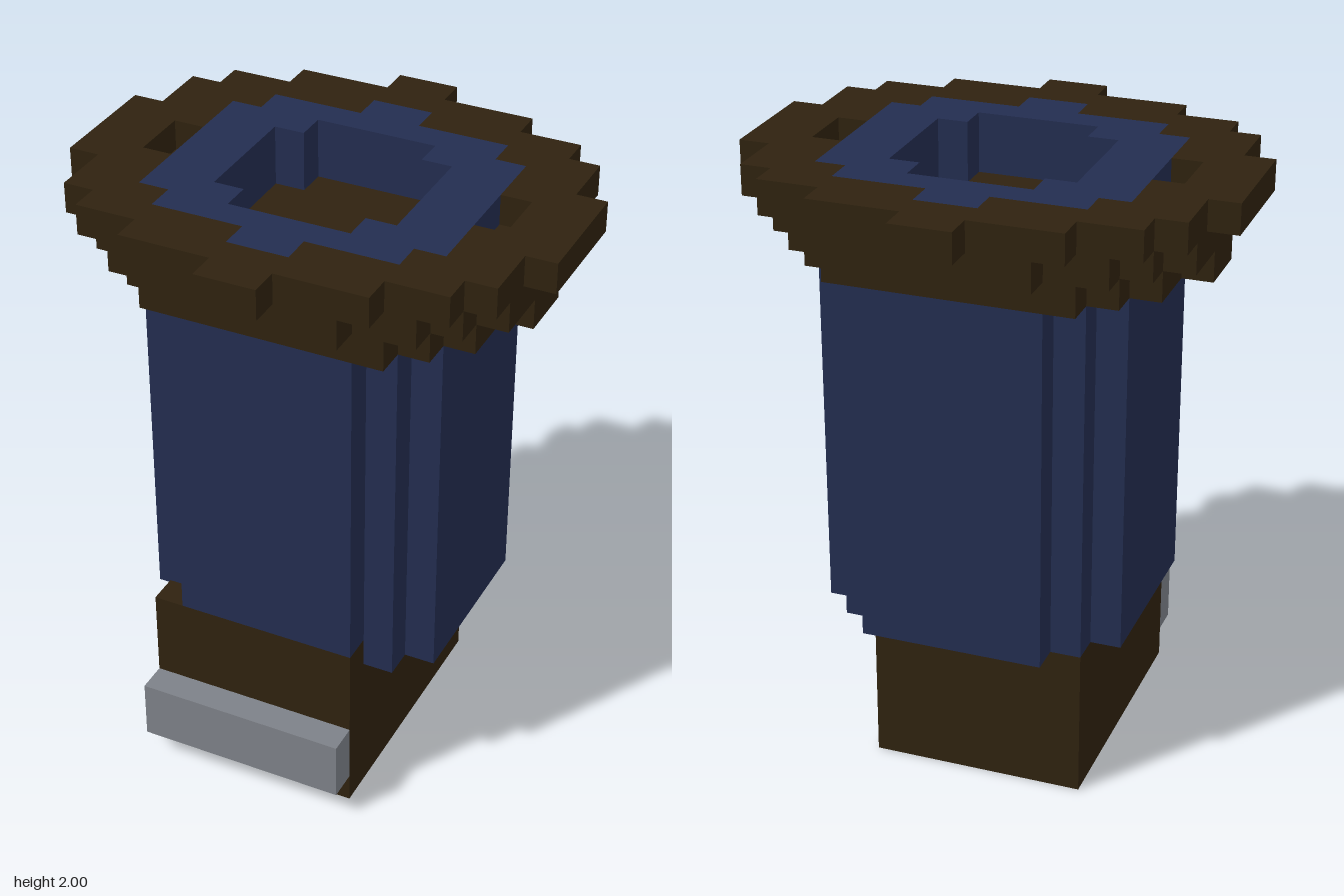
import * as THREE from 'three';

const brown = new THREE.MeshStandardMaterial({ color: 0x2f220f });
brown.name = 'darkBrown';
const blue = new THREE.MeshStandardMaterial({ color: 0x232d50 });
blue.name = 'navyBlue';
const grey = new THREE.MeshStandardMaterial({ color: 0x7d8188 });
grey.name = 'steelGrey';

// Stepped outline, mirrored in x; steps are [half width, half depth] from widest to narrowest.
function outline(back, front = back) {
  const quarter = (steps) => steps.flatMap(([x, z], i) => [[x, i ? steps[i - 1][1] : 0], [x, z]]).slice(1);
  const b = quarter(back);
  const f = quarter(front).map(([x, z]) => [x, -z]);
  const right = [...f.reverse(), ...b];
  const left = right.map(([x, z]) => [-x, z]).reverse();
  return [...right, ...left].map(([x, z]) => new THREE.Vector2(x, z));
}

// Horizontal slab with a stepped outline and an optional stepped opening.
function slab(name, material, y0, y1, points, hole) {
  const shape = new THREE.Shape(points);
  if (hole) shape.holes.push(new THREE.Path(hole));
  const geometry = new THREE.ExtrudeGeometry(shape, { depth: y1 - y0, bevelEnabled: false });
  geometry.rotateX(-Math.PI / 2).translate(0, y0, 0);
  const mesh = new THREE.Mesh(geometry, material);
  mesh.name = name;
  return mesh;
}

// Box given by its limits.
function block(name, material, [x0, x1], [y0, y1], [z0, z1]) {
  const mesh = new THREE.Mesh(new THREE.BoxGeometry(x1 - x0, y1 - y0, z1 - z0), material);
  mesh.position.set((x0 + x1) / 2, (y0 + y1) / 2, (z0 + z1) / 2);
  mesh.name = name;
  return mesh;
}

export function createModel() {
  const model = new THREE.Group();
  model.name = 'steppedColumn';

  // Base with a raised front lip and a metal band
  model.add(
    block('base', brown, [-0.4, 0.3], [0, 0.5], [-0.4, 0.5]),
    block('baseLip', brown, [-0.4, 0.3], [0.5, 0.6], [0.4, 0.5]),
    block('frontBand', grey, [-0.4, 0.3], [0.1, 0.3], [0.5, 0.6]),
  );

  // Shaft with stepped corners; its lowest course sits behind the lip
  const shaft = [[0.5, 0.3], [0.4, 0.4], [0.3, 0.5]];
  model.add(
    slab('shaftFoot', blue, 0.5, 0.6, outline(shaft, shaft.slice(0, 2))),
    slab('shaft', blue, 0.6, 1.7, outline(shaft)),
  );

  // Flaring crown in three courses; the lowest one is the floor of the recess
  const collar = [[0.5, 0.3], [0.4, 0.4], [0.1, 0.5]];
  model.add(
    slab('crownLower', brown, 1.7, 1.8, outline([[0.7, 0.1], [0.6, 0.3], [0.5, 0.4], [0.4, 0.5]])),
    slab('crownMiddle', brown, 1.8, 1.9,
      outline([[0.7, 0.3], [0.6, 0.4], [0.5, 0.5], [0.3, 0.6]]), outline(collar)),
    // The opening is wider at the sides to leave two small notches
    slab('crownTop', brown, 1.9, 2,
      outline([[0.8, 0.2], [0.7, 0.4], [0.6, 0.5], [0.4, 0.6], [0.1, 0.7]]),
      outline([[0.6, 0.1], ...collar])),
  );

  // Inner collar around the recess
  model.add(slab('collar', blue, 1.8, 2, outline(collar), outline([[0.3, 0.2], [0.2, 0.3]])));

  return model;
}
